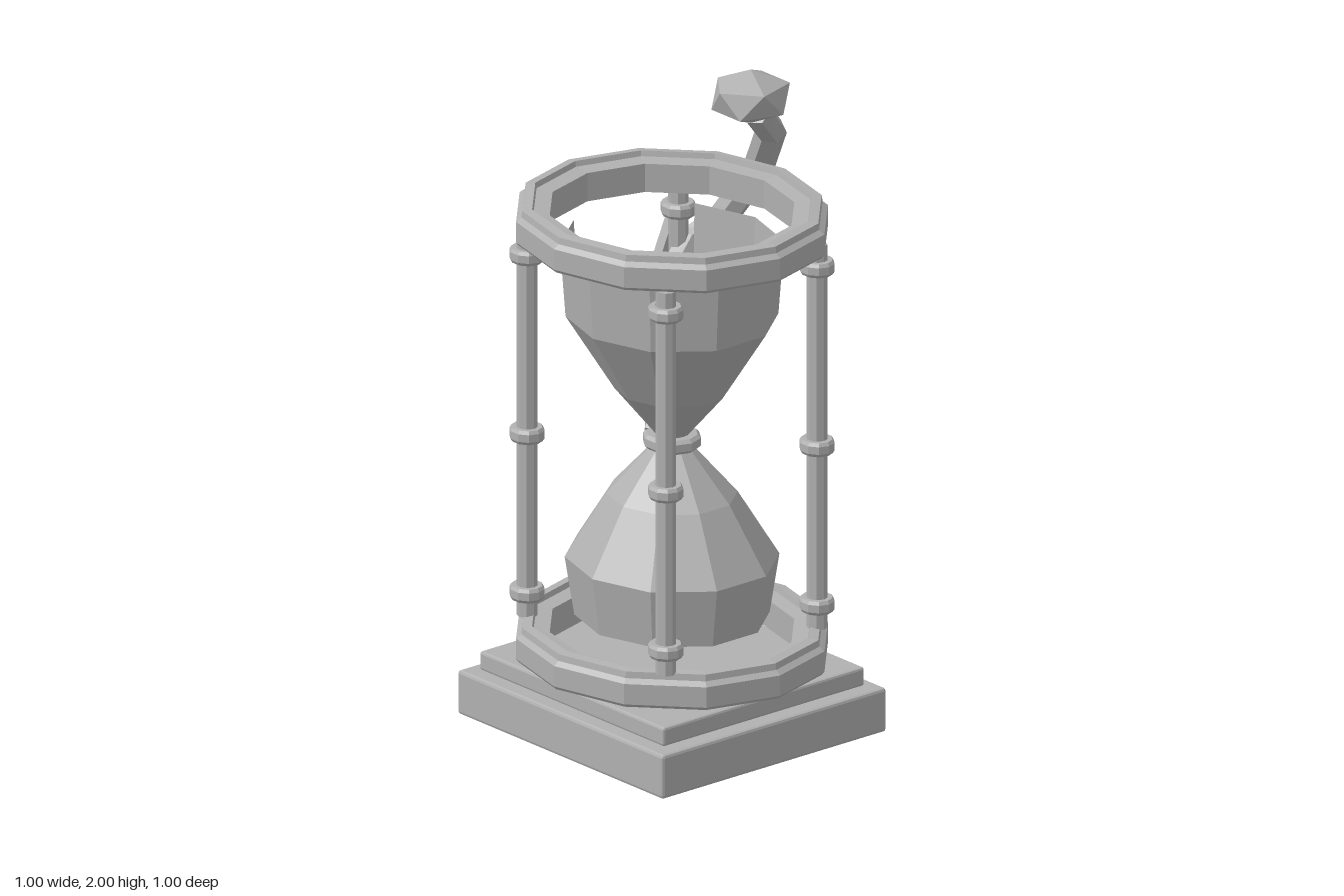
import * as THREE from 'three';
import { RoundedBoxGeometry } from 'three/addons/geometries/RoundedBoxGeometry.js';

const DEG = Math.PI / 180;

export function createModel() {
  const model = new THREE.Group();
  const stone = new THREE.MeshStandardMaterial({ color: 0xb0b0b0 });
  stone.name = 'grey stone';
  stone.flatShading = true;
  stone.side = THREE.DoubleSide;

  // The stand is slightly narrower across x than along z
  const stand = new THREE.Group();
  stand.name = 'hourglass';
  stand.position.x = -0.036;
  stand.scale.x = 0.93;
  model.add(stand);

  const add = (parent, name, geometry, x = 0, y = 0, z = 0) => {
    const mesh = new THREE.Mesh(geometry, stone);
    mesh.name = name;
    mesh.position.set(x, y, z);
    parent.add(mesh);
    return mesh;
  };
  const lathe = (points, sides, start = 0, length = 360) => new THREE.LatheGeometry(
    points.map(([r, y]) => new THREE.Vector2(r, y)), sides, start * DEG, length * DEG);
  const triangle = (width, height, depth) => {
    const shape = new THREE.Shape();
    shape.moveTo(-width / 2, -height / 2);
    shape.lineTo(width / 2, -height / 2);
    shape.lineTo(0, height / 2);
    shape.closePath();
    return new THREE.ExtrudeGeometry(shape, { depth, bevelEnabled: false });
  };

  // Square base
  add(stand, 'lowerPlinth', new RoundedBoxGeometry(0.942, 0.14, 0.942, 1, 0.01), 0, 0.07, 0);
  add(stand, 'upperPlinth', new RoundedBoxGeometry(0.845, 0.06, 0.845, 1, 0.008), 0, 0.173, 0);
  for (const x of [-0.295, 0, 0.3]) {
    add(stand, 'backStud', triangle(0.085, 0.055, 0.035), x, 0.1, -0.502);
  }

  // Hollow twelve-sided rings with a raised lip
  const ringProfile = [[0.388, 0], [0.487, 0], [0.495, 0.01], [0.495, 0.075], [0.478, 0.088],
    [0.475, 0.108], [0.444, 0.112], [0.44, 0.095], [0.388, 0.09], [0.388, 0]];
  for (const [name, y] of [['bottomRing', 0.22], ['topRing', 1.548]]) {
    add(stand, name, lathe(ringProfile, 12), 0, y, 0);
  }

  // Four pillars with three collars each
  const collar = (r) => lathe([[r * 0.6, -0.022], [r * 0.88, -0.022], [r, -0.012],
    [r, 0.012], [r * 0.88, 0.022], [r * 0.6, 0.022]], 10);
  for (const x of [-0.318, 0.318]) {
    for (const z of [-0.318, 0.318]) {
      add(stand, 'pillar', new THREE.CylinderGeometry(0.032, 0.032, 1.22, 8), x, 0.935, z);
      for (const y of [0.4, 0.905, 1.475]) add(stand, 'pillarCollar', collar(0.056), x, y, z);
    }
  }

  // Ten-sided glass, broken open at the back
  add(stand, 'lowerGlass', lathe([[0.305, 0.35], [0.335, 0.535], [0.205, 0.735]], 9, 198, 324));
  add(stand, 'lowerGlassNeck', lathe([[0.205, 0.735], [0.055, 0.895]], 10, 90));
  add(stand, 'upperGlassNeck', lathe([[0.04, 0.91], [0.18, 1.07]], 9, 162, 324));
  add(stand, 'upperGlass', lathe([[0.18, 1.07], [0.332, 1.3], [0.35, 1.53]], 8, 198, 288));
  add(stand, 'neckRing', collar(0.092), 0, 0.905, 0);
  add(stand, 'glassFloor', lathe([[0, 0.352], [0.305, 0.35]], 10, 90));
  add(stand, 'sandPile', lathe([[0.2, 0.355], [0.14, 0.395], [0, 0.42]], 10, 90));

  // Jagged shards along the broken edges: [angle, radius, height] corners
  const shard = (name, corners) => {
    const points = corners.map(([a, r, y]) =>
      new THREE.Vector3(Math.sin(a * DEG) * r, y, Math.cos(a * DEG) * r));
    const geometry = new THREE.BufferGeometry().setFromPoints(points);
    geometry.computeVertexNormals();
    add(stand, name, geometry);
  };
  shard('upperShard', [[198, 0.18, 1.07], [180, 0.171, 1.07], [198, 0.332, 1.3]]);
  shard('upperShard', [[126, 0.18, 1.07], [126, 0.332, 1.3], [142, 0.19, 1.1]]);
  shard('lowerShard', [[162, 0.335, 0.535], [162, 0.205, 0.735], [174, 0.197, 0.735]]);
  shard('lowerShard', [[162, 0.305, 0.35], [162, 0.335, 0.535], [171, 0.3, 0.47]]);

  // Triangular plate on the back of one pillar
  add(model, 'pillarPlate', triangle(0.15, 0.17, 0.035), 0.262, 1.365, -0.372);

  // Bent arm: a six-sided column swept along a curve
  const path = new THREE.CatmullRomCurve3([
    [-0.02, 0.9, -0.08], [0.08, 1.07, -0.18], [0.18, 1.26, -0.28], [0.3, 1.36, -0.31],
    [0.4, 1.42, -0.28], [0.46, 1.58, -0.19], [0.42, 1.75, -0.08], [0.31, 1.86, -0.02],
  ].map((p) => new THREE.Vector3(...p)), false, 'centripetal');
  const rows = 7;
  const frames = path.computeFrenetFrames(rows, false);
  const arm = new THREE.CylinderGeometry(0.047, 0.047, 1, 6, rows);
  const pos = arm.attributes.position;
  for (let i = 0; i < pos.count; i++) {
    const row = Math.round((pos.getY(i) + 0.5) * rows);
    const p = path.getPoint(row / rows)
      .addScaledVector(frames.normals[row], pos.getZ(i))
      .addScaledVector(frames.binormals[row], pos.getX(i));
    pos.setXYZ(i, p.x, p.y, p.z);
  }
  arm.computeVertexNormals();
  add(model, 'bentArm', arm);

  // Faceted knob at the end of the arm, one corner pointing up
  const knob = new THREE.IcosahedronGeometry(1, 0);
  knob.rotateZ(Math.atan(2 / (1 + Math.sqrt(5))));
  knob.scale(0.135, 0.085, 0.125);
  add(model, 'knob', knob, 0.28, 1.915, -0.01);

  return model;
}
